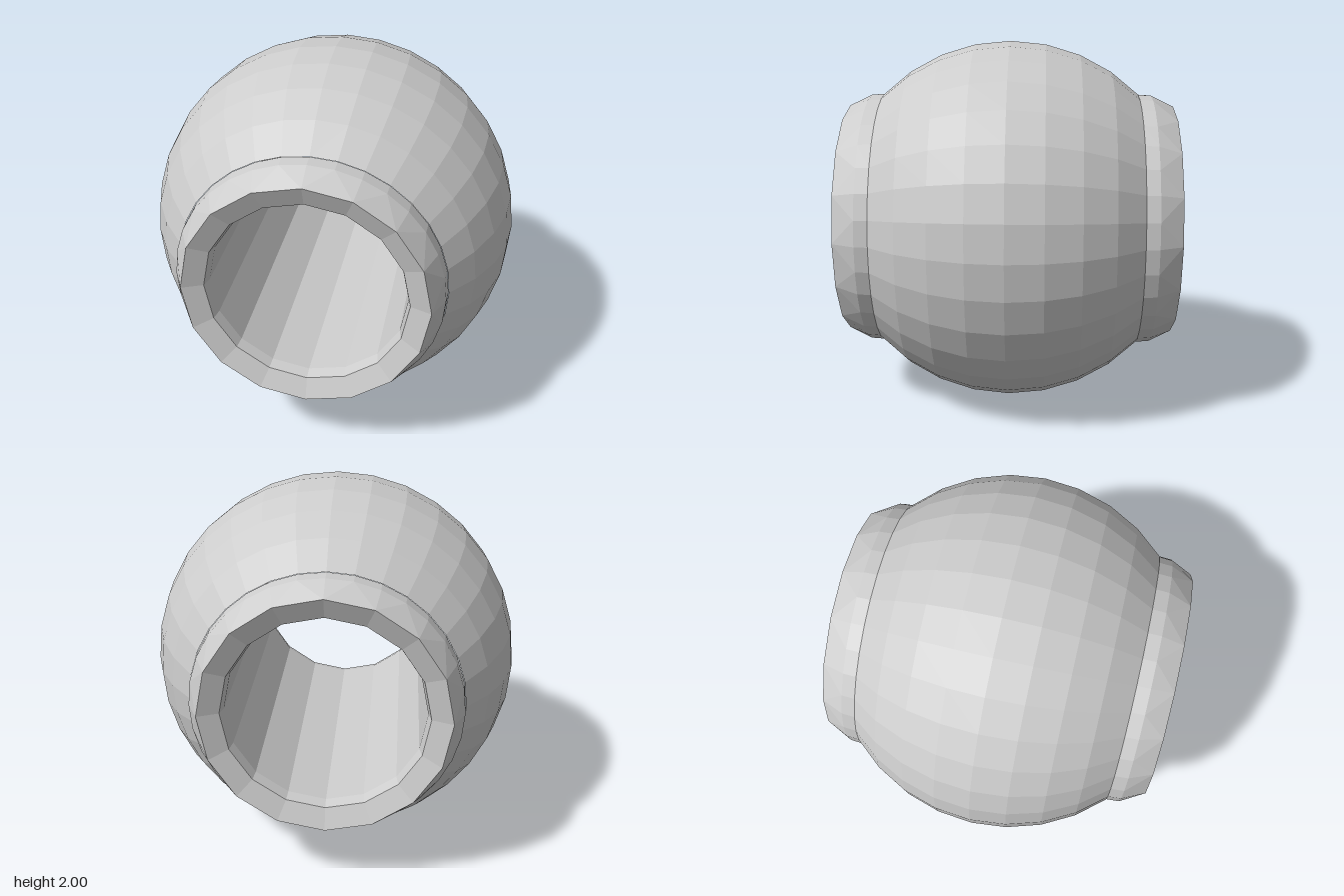
import * as THREE from 'three';

const SIDES = 32;

// Sweeps a profile of [radius, z, step] around the z axis.
// A step of 2 snaps that row to every second angle, giving a coarser, faceted edge.
function sweep(profile) {
  const point = ([r, z, step = 1], j) => {
    const a = (Math.ceil(j / step) * step / SIDES) * Math.PI * 2;
    return new THREE.Vector3(r * Math.sin(a), r * Math.cos(a), z);
  };
  const points = [];
  const addTriangle = (a, b, c) => {
    if (a.distanceTo(b) > 1e-4 && b.distanceTo(c) > 1e-4 && a.distanceTo(c) > 1e-4) points.push(a, b, c);
  };
  for (let i = 0; i < profile.length - 1; i++) {
    for (let j = 0; j < SIDES; j++) {
      const a = point(profile[i], j), b = point(profile[i], j + 1);
      const c = point(profile[i + 1], j + 1), d = point(profile[i + 1], j);
      addTriangle(a, b, c);
      addTriangle(a, c, d);
    }
  }
  const geometry = new THREE.BufferGeometry().setFromPoints(points);
  geometry.computeVertexNormals();
  return geometry;
}

export function createModel() {
  const model = new THREE.Group();
  model.name = 'bead';
  const grey = new THREE.MeshStandardMaterial({ color: 0xcccccc, flatShading: true });
  grey.name = 'grey';

  const add = (name, profile) => {
    const mesh = new THREE.Mesh(sweep(profile), grey);
    mesh.name = name;
    mesh.position.y = 1;
    model.add(mesh);
    return mesh;
  };

  // Round body, a sphere cut off at 45 degrees on both ends
  const arc = [];
  for (let i = -4; i <= 4; i++) {
    const t = (i * Math.PI) / 16;
    arc.push([Math.cos(t), -Math.sin(t)]);
  }
  add('body', arc);

  // Collars with a bevelled rim that dips into the hole
  const collar = [
    [0.515, 0.8, 2], [0.53, 0.86, 2], [0.64, 0.905, 2], [0.7, 0.78], [0.705, 0.705],
  ];
  add('frontCollar', collar);
  add('backCollar', collar).rotation.y = Math.PI;

  // Through hole
  add('bore', [[0.515, -0.8, 2], [0.515, 0.8, 2]]);

  return model;
}
